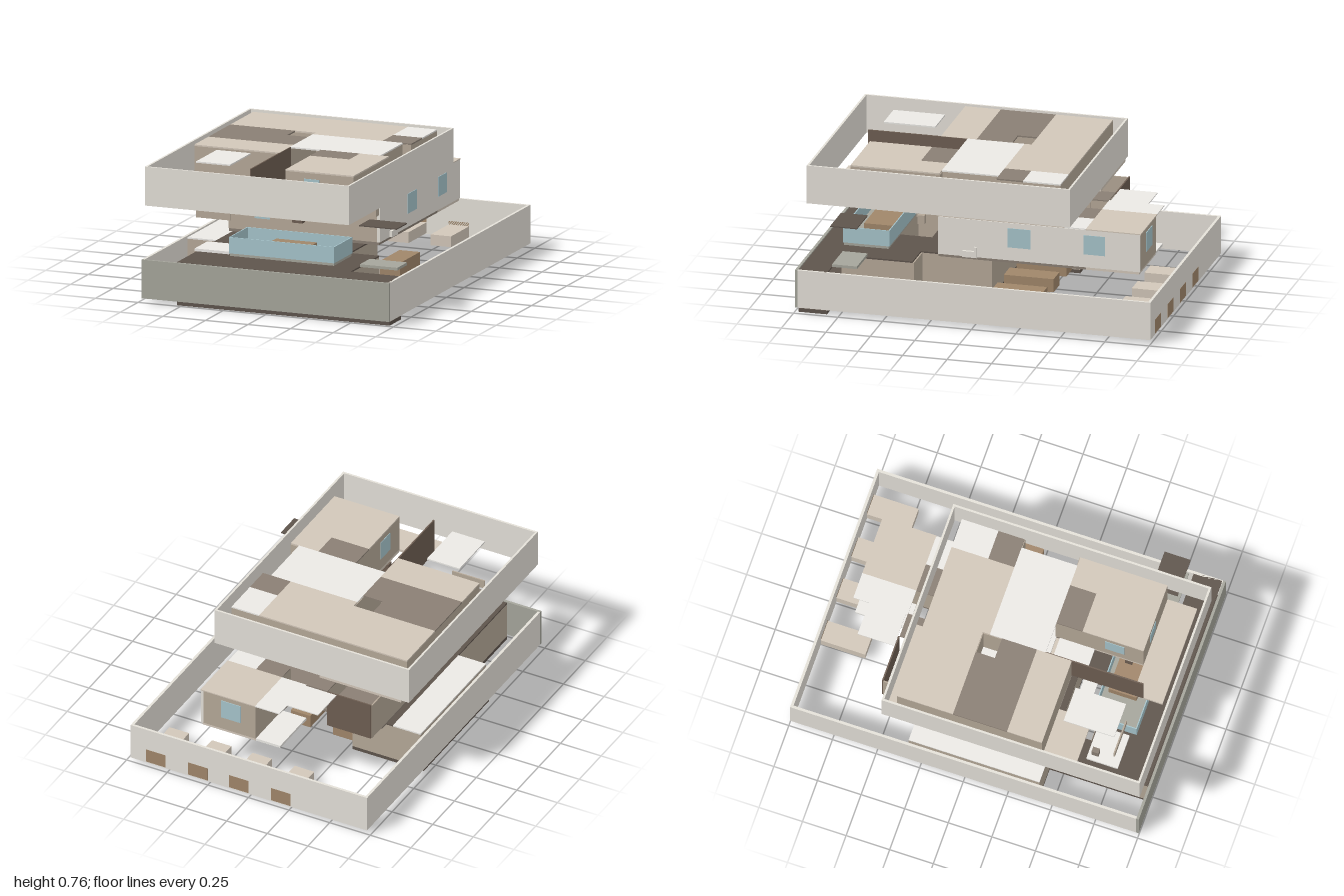
import * as THREE from 'three';

const mat = (color) => new THREE.MeshStandardMaterial({ color, flatShading: true });
const M = {
  outer: mat(0xe4e0d8), stone: mat(0xa5a59b), wall: mat(0xb5a898), beige: mat(0xd2c7b9),
  dark: mat(0x8a7f74), light: mat(0xebe9e5), ground: mat(0x5e544c), wood: mat(0xa0866a),
  glass: mat(0xa6c4cb), screen: mat(0x6e5e52),
};

export function createModel() {
  const model = new THREE.Group();
  let parent = model;

  // Box given by its limits
  function box(name, m, x0, x1, y0, y1, z0, z1) {
    const mesh = new THREE.Mesh(new THREE.BoxGeometry(x1 - x0, y1 - y0, z1 - z0), M[m]);
    mesh.position.set((x0 + x1) / 2, (y0 + y1) / 2, (z0 + z1) / 2);
    mesh.name = name;
    parent.add(mesh);
  }
  function level(name) {
    parent = new THREE.Group();
    parent.name = name;
    model.add(parent);
  }
  // Four walls around a rectangle, open above and below
  function ring(name, m, frontM, x0, x1, y0, y1, z0, z1, t) {
    box(name, frontM, x0, x1, y0, y1, z1 - t, z1);
    box(name, m, x0, x1, y0, y1, z0, z0 + t);
    box(name, m, x0, x0 + t, y0, y1, z0 + t, z1 - t);
    box(name, m, x1 - t, x1, y0, y1, z0 + t, z1 - t);
  }
  // Slabs listed as [material, x0, x1, z0, z1]
  function slabs(name, y0, y1, list) {
    for (const [m, x0, x1, z0, z1] of list) box(name, m, x0, x1, y0, y1, z0, z1);
  }
  // Thin walls: across = [z, x0, x1], along = [x, z0, z1]
  function walls(m, y0, y1, across, along, t = 0.008) {
    for (const [z, a, b] of across) box('roomWall', m, a, b, y0, y1, z - t / 2, z + t / 2);
    for (const [x, a, b] of along) box('roomWall', m, x - t / 2, x + t / 2, y0, y1, a, b);
  }

  // Lower level
  level('lowerLevel');
  ring('perimeterWall', 'outer', 'stone', -0.73, 0.725, 0.025, 0.24, -1, 1, 0.015);
  const rooms = [
    ['ground', -0.53, 0.72, 0.82, 0.98],
    ['ground', -0.53, 0.425, 0.61, 0.82],
    ['ground', 0.02, 0.425, 0.42, 0.61],
    ['ground', -0.53, -0.38, 0.42, 0.61],
    ['ground', -0.53, 0.25, 0.02, 0.42],
    ['ground', -0.53, -0.28, -0.33, 0.02],
  ];
  slabs('lowerFloor', 0, 0.02, [...rooms, ['ground', -0.72, -0.53, -0.33, 0.42]]);
  slabs('lowerCeiling', 0.232, 0.24, [...rooms, ['light', -0.7, -0.53, -0.33, 0.42]]);
  walls('wall', 0.02, 0.232,
    [[0.61, -0.38, 0.02], [-0.326, -0.7, -0.28], [0.024, -0.28, 0.25], [0.416, -0.7, 0.42]],
    [[-0.696, -0.33, 0.42], [-0.526, -0.33, 0.98], [0.42, 0.42, 0.82], [0.246, 0.02, 0.42],
      [-0.284, -0.33, 0.02], [-0.16, 0.02, 0.42]]);

  // Two rows of low boxes, the back row reaching through the rear wall
  for (const x of [-0.26, 0, 0.25, 0.51]) {
    box('lowBox', 'wood', x, x + 0.12, 0.025, 0.1, -0.29, -0.01);
    box('rearBox', 'beige', x, x + 0.12, 0.03, 0.09, -0.995, -0.73);
    box('rearPanel', 'wood', x, x + 0.12, 0.03, 0.11, -1.001, -0.985);
  }
  box('smallBox', 'wood', 0.45, 0.55, 0.025, 0.09, 0.44, 0.54);

  // Middle level
  level('middleLevel');
  slabs('middleFloor', 0.265, 0.28, [
    ['dark', -0.51, 0.37, -0.42, 0.29],
    ['dark', 0.04, 0.37, -0.54, -0.42],
    ['beige', 0.04, 0.37, -0.84, -0.54],
    ['light', -0.11, 0.04, -0.84, -0.54],
    ['stone', -0.28, 0.33, 0.58, 0.83],
    ['light', -0.5, -0.3, 0.62, 0.8],
    ['stone', 0.47, 0.69, 0.66, 0.8],
  ]);
  slabs('middleCeiling', 0.494, 0.5, [
    ['beige', 0.04, 0.375, -0.85, -0.54],
    ['light', -0.11, 0.04, -0.85, -0.54],
    ['light', -0.3, -0.11, -0.76, -0.55],
    ['dark', -0.24, -0.1, -0.54, -0.44],
    ['dark', 0.04, 0.2, -0.54, -0.44],
    ['light', 0.2, 0.37, -0.54, -0.42],
    ['beige', -0.51, 0.37, -0.42, 0.29],
    ['ground', 0.47, 0.69, 0.66, 0.81],
  ]);
  box('sideWall', 'outer', 0.36, 0.375, 0.28, 0.494, -0.845, 0.29);
  walls('wall', 0.28, 0.494,
    [[0.284, -0.515, 0.36], [-0.84, 0.04, 0.36], [-0.44, 0.04, 0.36], [-0.08, -0.51, 0.36]],
    [[-0.51, -0.54, 0.28], [0.044, -0.84, -0.44], [-0.16, -0.42, 0.28]]);
  box('screenWall', 'screen', -0.51, -0.24, 0.28, 0.5, -0.548, -0.54);
  for (const [z0, z1] of [[-0.23, -0.1], [-0.65, -0.53]])
    box('sideWindow', 'glass', 0.355, 0.378, 0.355, 0.465, z0, z1);
  box('frontWindow', 'glass', -0.36, -0.27, 0.35, 0.465, 0.277, 0.291);
  box('frontWindow', 'glass', 0.04, 0.17, 0.365, 0.465, 0.277, 0.291);
  box('rearWindow', 'glass', 0.13, 0.25, 0.355, 0.465, -0.848, -0.833);
  box('step', 'outer', 0.375, 0.39, 0.28, 0.315, 0.07, 0.15);
  box('step', 'outer', 0.375, 0.39, 0.315, 0.34, 0.07, 0.085);
  // Hanging lintels
  for (const [m, x0, x1, z0, z1] of [
    ['dark', -0.29, -0.23, 0.36, 0.4], ['screen', 0.03, 0.09, 0.66, 0.7],
    ['wall', 0.14, 0.29, 0.426, 0.434], ['dark', -0.53, -0.5, 0.66, 0.7],
    ['wall', 0.37, 0.4, 0.36, 0.4], ['wall', -0.5, -0.3, 0.776, 0.784],
  ]) box('lintel', m, x0, x1, 0.45, 0.5, z0, z1);
  // Glazed terrace with a table
  ring('glassParapet', 'glass', 'glass', -0.285, 0.333, 0.28, 0.37, 0.575, 0.835, 0.006);
  box('terraceTable', 'wood', -0.1, 0.14, 0.28, 0.33, 0.61, 0.77);

  // Upper level
  level('upperLevel');
  ring('perimeterWall', 'outer', 'outer', -0.71, 0.488, 0.543, 0.76, -0.482, 0.998, 0.012);
  slabs('upperFloor', 0.527, 0.543, [
    ['beige', -0.66, -0.16, -0.48, -0.09],
    ['beige', -0.16, 0.42, -0.41, -0.09],
    ['dark', -0.66, -0.28, -0.09, 0.22],
    ['light', -0.28, -0.16, -0.09, 0.22],
    ['light', -0.16, 0.37, -0.09, 0.27],
    ['beige', -0.66, -0.16, 0.22, 0.42],
    ['beige', -0.66, -0.37, 0.42, 0.61],
    ['light', -0.3, -0.11, 0.49, 0.57],
    ['light', -0.09, 0.02, 0.29, 0.49],
    ['dark', 0.02, 0.25, 0.27, 0.42],
    ['beige', 0.02, 0.42, 0.42, 0.77],
    ['beige', -0.16, 0.42, 0.77, 0.94],
  ]);
  slabs('upperRoof', 0.753, 0.761, [
    ['beige', -0.66, 0.25, -0.41, -0.09],
    ['beige', -0.16, 0.25, -0.09, -0.05],
    ['light', 0.25, 0.42, -0.41, -0.2],
    ['dark', 0.25, 0.42, -0.2, -0.05],
    ['dark', -0.66, -0.28, -0.09, 0.22],
    ['dark', -0.28, -0.16, 0.02, 0.22],
    ['light', -0.16, 0.25, -0.05, 0.27],
    ['light', 0.25, 0.37, -0.05, 0.27],
    ['beige', -0.66, -0.16, 0.22, 0.42],
    ['dark', 0.02, 0.25, 0.27, 0.42],
    ['beige', 0.25, 0.42, 0.27, 0.42],
    ['beige', 0.02, 0.42, 0.42, 0.77],
    ['light', -0.5, -0.3, 0.49, 0.78],
  ]);
  walls('wall', 0.543, 0.753,
    [[-0.406, -0.66, 0.42], [-0.09, -0.66, -0.16], [0.22, -0.66, -0.16], [0.416, -0.66, -0.16],
      [-0.05, 0.25, 0.42], [0.27, 0.02, 0.42], [0.766, 0.02, 0.42]],
    [[-0.656, -0.41, 0.42], [0.416, -0.41, -0.05], [0.25, -0.41, -0.05], [0.366, -0.05, 0.27],
      [0.416, 0.27, 0.77], [0.024, 0.27, 0.77], [-0.16, -0.09, 0.27]]);
  box('screenWall', 'screen', -0.164, -0.156, 0.543, 0.76, 0.27, 0.83);
  box('terraceWindow', 'glass', 0.13, 0.22, 0.61, 0.72, 0.76, 0.773);
  box('courtWindow', 'glass', 0.017, 0.03, 0.61, 0.72, 0.55, 0.66);

  return model;
}
